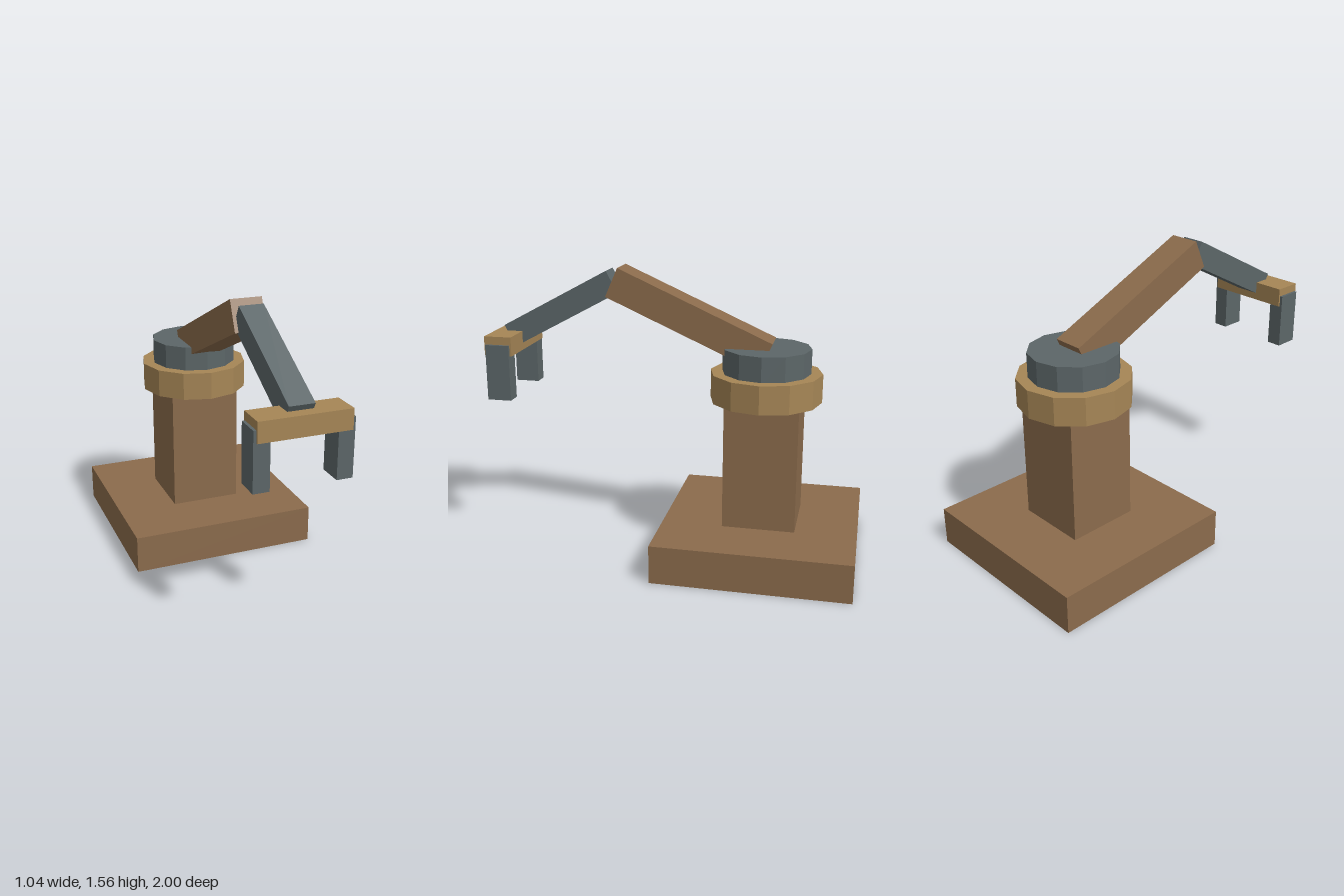
import * as THREE from 'three';

const material = (color) => new THREE.MeshStandardMaterial({ color, flatShading: true });

export function createModel() {
  const model = new THREE.Group();
  const brown = material(0x8b6b4c);
  const tan = material(0xa68656);
  const slate = material(0x5c6668);
  const baseZ = -0.48;

  const add = (name, geometry, mat, x, y, z, tilt = 0) => {
    const mesh = new THREE.Mesh(geometry, mat);
    mesh.name = name;
    mesh.position.set(x, y, z);
    mesh.rotation.x = THREE.MathUtils.degToRad(tilt);
    model.add(mesh);
  };
  const box = (w, h, d) => new THREE.BoxGeometry(w, h, d);
  const drum = (r, h) => new THREE.CylinderGeometry(r, r, h, 12);

  // Pedestal
  add('base', box(1.04, 0.208, 1.04), brown, 0, 0.104, baseZ);
  add('column', box(0.388, 0.72, 0.388), brown, 0, 0.56, baseZ);

  // Rotating shoulder
  add('collar', drum(0.297, 0.152), tan, 0, 0.951, baseZ);
  add('turntable', drum(0.235, 0.15), slate, 0, 1.084, baseZ);

  // Arm segments, tilted up to the elbow and down to the wrist
  add('upperArm', box(0.168, 0.168, 0.897), brown, 0, 1.3, -0.073, -24);
  add('forearm', box(0.13, 0.13, 0.66), slate, 0, 1.326, 0.63, 28.3);

  // Gripper
  add('palm', box(0.466, 0.103, 0.15), tan, 0, 1.146, 0.925);
  for (const side of [-1, 1]) {
    add(side > 0 ? 'leftFinger' : 'rightFinger', box(0.082, 0.3, 0.13), slate, side * 0.207, 1.004, 0.925);
  }

  return model;
}
